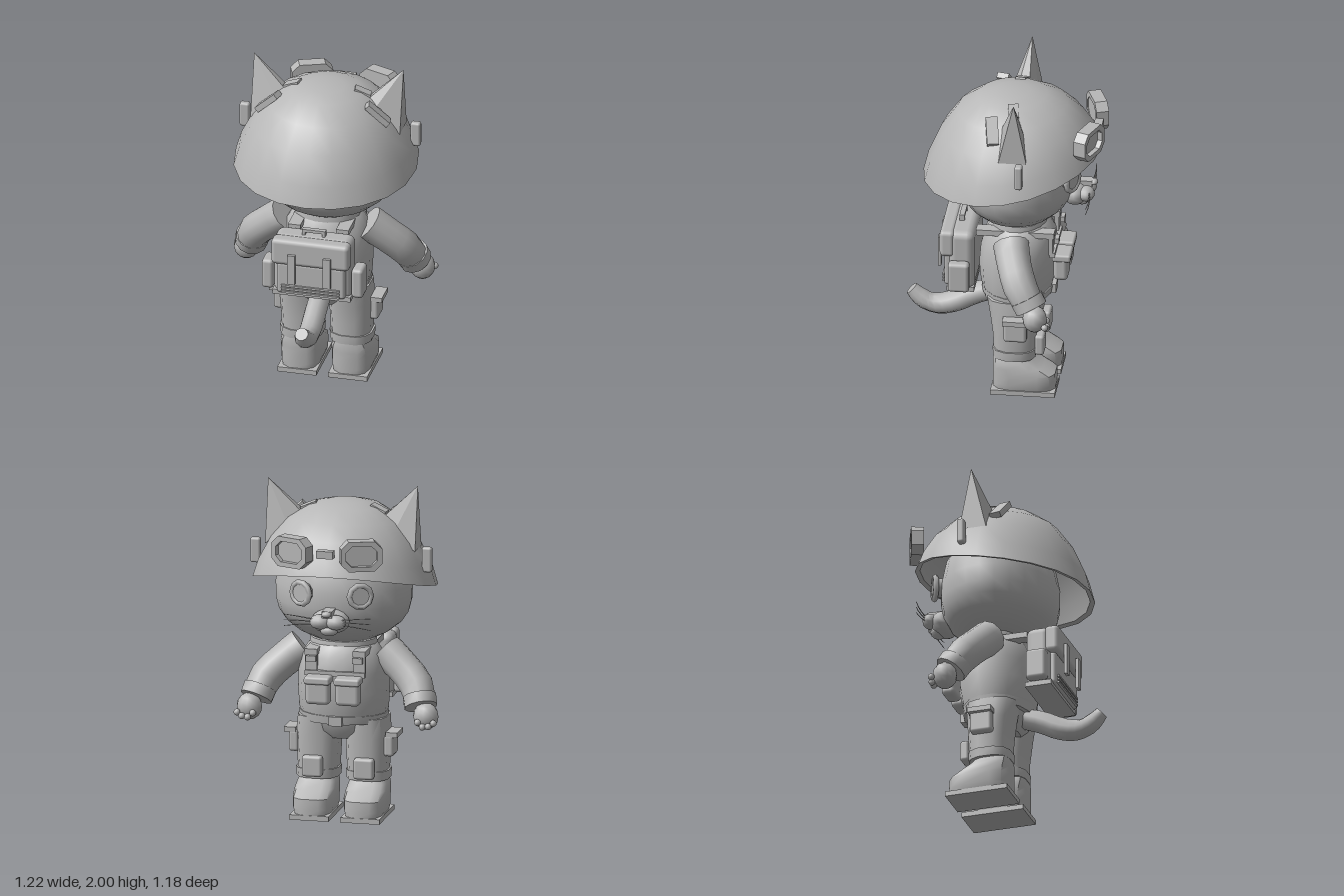
import * as THREE from 'three';
import { mergeVertices, toCreasedNormals } from 'three/addons/utils/BufferGeometryUtils.js';
import { RoundedBoxGeometry } from 'three/addons/geometries/RoundedBoxGeometry.js';
import { ConvexGeometry } from 'three/addons/geometries/ConvexGeometry.js';

const V = (x, y, z) => new THREE.Vector3(x, y, z);

// Capped skin over a list of rings
function loft(rings, crease = 0.7) {
  const n = rings[0].length, pos = [], idx = [];
  rings.forEach(r => r.forEach(p => pos.push(p.x, p.y, p.z)));
  for (let i = 0; i < rings.length - 1; i++)
    for (let j = 0; j < n; j++) {
      const a = i * n + j, b = i * n + (j + 1) % n;
      idx.push(a, b, b + n, a, b + n, a + n);
    }
  const last = (rings.length - 1) * n;
  for (let j = 1; j < n - 1; j++) idx.push(0, j + 1, j, last, last + j, last + j + 1);
  const g = new THREE.BufferGeometry();
  g.setAttribute('position', new THREE.Float32BufferAttribute(pos, 3));
  g.setIndex(idx);
  return toCreasedNormals(g, crease);
}

// Rows of [y, half width, back z, front z], bottom to top, as rounded sections
function stack(rows, x = 0, sides = 16, square = 1) {
  return loft(rows.map(([y, hx, zb, zf]) => Array.from({ length: sides }, (_, i) => {
    const a = ((i + 0.5) / sides) * Math.PI * 2, s = Math.sin(a), c = Math.cos(a);
    return V(x + hx * Math.sign(s) * Math.abs(s) ** square, y,
      (zb + zf) / 2 + (zb - zf) / 2 * Math.sign(c) * Math.abs(c) ** square);
  })));
}

// Tapered limb along a path
function limb(points, radii, steps, sides = 10) {
  const curve = new THREE.CatmullRomCurve3(points);
  const f = curve.computeFrenetFrames(steps);
  const rings = [];
  for (let i = 0; i <= steps; i++) {
    const t = i / steps, k = t * (radii.length - 1), lo = Math.min(Math.floor(k), radii.length - 2);
    const r = THREE.MathUtils.lerp(radii[lo], radii[lo + 1], k - lo), c = curve.getPoint(t);
    rings.push(Array.from({ length: sides }, (_, j) => {
      const a = (j / sides) * Math.PI * 2;
      return c.clone().addScaledVector(f.normals[i], r * Math.cos(a)).addScaledVector(f.binormals[i], r * Math.sin(a));
    }));
  }
  return loft(rings);
}

export function createModel() {
  const model = new THREE.Group();
  const grey = new THREE.MeshStandardMaterial({ color: 0xb8b8b8 });
  grey.name = 'grey';
  const add = (name, geo, p = [0, 0, 0], r = [0, 0, 0], parent = model) => {
    const m = new THREE.Mesh(geo, grey);
    m.name = name;
    m.position.set(...p);
    m.rotation.set(...r);
    parent.add(m);
    return m;
  };
  const box = (name, size, p, r) => add(name, new THREE.BoxGeometry(...size), p, r);
  const pad = (name, size, p, r) => add(name, new RoundedBoxGeometry(...size, 2, Math.min(...size) * 0.3), p, r);
  const ball = (name, r, p, scale = [1, 1, 1]) => add(name, new THREE.SphereGeometry(r, 12, 8), p).scale.set(...scale);

  // Head
  const headProfile = [[0, 1.06], [0.18, 1.065], [0.27, 1.11], [0.345, 1.17], [0.385, 1.23], [0.403, 1.3],
    [0.405, 1.4], [0.37, 1.55], [0.25, 1.7], [0, 1.76]].map(p => new THREE.Vector2(...p));
  const head = add('head', new THREE.LatheGeometry(headProfile, 24), [0, 0, -0.067]);
  head.scale.z = 0.85;

  // Helmet: dome whose rim rises toward the face; profile is [radius, drop]
  const dome = [[0, 0.08], [0.36, 0.14], [0.57, 0.3], [0.75, 0.53], [0.89, 0.8], [0.945, 0.985], [1, 1],
    [0.94, 0.775], [0.8, 0.47], [0.617, 0.225], [0.387, 0.063], [0.2, 0.015], [0, 0]];
  let helmet = new THREE.LatheGeometry(dome.map(([r, d]) => new THREE.Vector2(r, -d)), 20);
  const hp = helmet.attributes.position;
  for (let i = 0; i < hp.count; i++) {
    const x = hp.getX(i), z = hp.getZ(i), c = z / (Math.hypot(x, z) || 1);
    const rim = 1.39 - 0.105 * c + 0.04 * c * c;
    hp.setXYZ(i, x * 0.545, 1.88 + hp.getY(i) * (1.88 - rim), z * 0.525 - 0.04);
  }
  helmet.deleteAttribute('normal');
  helmet.deleteAttribute('uv');
  add('helmet', toCreasedNormals(mergeVertices(helmet, 1e-4), 0.9));

  // Goggle frame with chamfered corners
  const octagon = (w, h, c, T) => new T([[-w + c, -h], [w - c, -h], [w, -h + c], [w, h - c], [w - c, h],
    [-w + c, h], [-w, h - c], [-w, -h + c]].map(p => new THREE.Vector2(...p)));
  const frame = octagon(0.122, 0.09, 0.045, THREE.Shape);
  frame.holes.push(octagon(0.092, 0.062, 0.035, THREE.Path));
  const frameGeo = new THREE.ExtrudeGeometry(frame, { depth: 0.075, bevelEnabled: false });
  const lensGeo = new THREE.ExtrudeGeometry(octagon(0.1, 0.07, 0.035, THREE.Shape), { depth: 0.04, bevelEnabled: false });
  box('goggleBridge', [0.1, 0.045, 0.05], [0, 1.67, -0.545]);

  // Muzzle
  ball('muzzle', 0.1, [0, 1.235, -0.41], [1.15, 0.75, 0.8]);
  ball('chin', 0.05, [0, 1.19, -0.45], [1.1, 0.7, 0.9]);
  ball('nose', 0.025, [0, 1.3, -0.52], [1.2, 0.75, 0.9]);
  box('noseBridge', [0.06, 0.04, 0.1], [0, 1.295, -0.46]);

  // Torso, hips, collar and belt
  add('torso', stack([[0.575, 0.25, 0.13, -0.265], [0.65, 0.265, 0.145, -0.285], [0.76, 0.27, 0.155, -0.305],
    [0.88, 0.265, 0.145, -0.305], [0.97, 0.245, 0.12, -0.295], [1.03, 0.205, 0.09, -0.26], [1.06, 0.17, 0.07, -0.23]]));
  add('hips', stack([[0.47, 0.14, 0.05, -0.18], [0.52, 0.23, 0.09, -0.22], [0.6, 0.25, 0.11, -0.24]]));
  add('belt', stack([[0.575, 0.26, 0.135, -0.275], [0.625, 0.265, 0.14, -0.285]]));
  add('collar', stack([[1.02, 0.2, 0.09, -0.25], [1.068, 0.195, 0.085, -0.245]]));
  box('buckle', [0.08, 0.055, 0.03], [0, 0.6, -0.285]);
  box('chestBand', [0.36, 0.03, 0.03], [0, 0.89, -0.295]);

  // Tail
  add('tail', limb([V(0, 0.565, 0.06), V(0, 0.52, 0.19), V(0, 0.46, 0.31), V(0, 0.44, 0.42), V(0, 0.475, 0.5),
    V(0, 0.53, 0.555)], [0.06, 0.066, 0.066, 0.062, 0.055, 0.04], 12));

  // Backpack
  pad('backpack', [0.47, 0.38, 0.15], [0, 0.84, 0.235]);
  pad('backpackLid', [0.47, 0.165, 0.09], [0, 0.948, 0.32]);
  pad('backpackPocket', [0.41, 0.2, 0.06], [0, 0.77, 0.31]);
  box('backpackBase', [0.47, 0.03, 0.16], [0, 0.665, 0.24]);
  for (const y of [0.685, 0.705, 0.725]) box('webbing', [0.35, 0.012, 0.02], [0, y, 0.342]);
  box('handle', [0.14, 0.018, 0.03], [0, 1.058, 0.25]);

  for (const s of [-1, 1]) {
    // Ears with trim
    add('ear', new ConvexGeometry([[0.45, 2, -0.1], [0.45, 1.62, -0.175], [0.45, 1.62, -0.01], [0.21, 1.77, -0.11],
      [0.21, 1.77, -0.04], [0.28, 1.74, 0], [0.32, 1.73, -0.15]].map(([x, y, z]) => V(s * x, y, z))));
    box('earTrimInner', [0.1, 0.03, 0.06], [s * 0.21, 1.838, -0.07], [0, s * 0.15, -s * 0.4]);
    box('earTrimBack', [0.17, 0.035, 0.07], [s * 0.33, 1.765, 0.04], [0, s * 0.2, -s * 0.75]);

    // Goggles and helmet side pads
    const goggle = new THREE.Group();
    goggle.name = 'goggle';
    goggle.position.set(s * 0.193, 1.668, -0.48);
    goggle.rotation.y = s * (Math.PI - 0.37);
    model.add(goggle);
    add('goggleFrame', frameGeo, [0, 0, 0], [0, 0, 0], goggle);
    add('goggleLens', lensGeo, [0, 0, 0.005], [0, 0, 0], goggle);
    pad('helmetPad', [0.06, 0.15, 0.045], [s * 0.515, 1.57, -0.138]);

    // Eyes
    const eye = new THREE.Group();
    eye.name = 'eye';
    eye.position.set(s * 0.17, 1.395, -0.395);
    eye.rotation.y = s * (Math.PI - 0.45);
    model.add(eye);
    add('eyeRim', new THREE.TorusGeometry(0.065, 0.018, 6, 10), [0, 0, 0.02], [0, 0, 0], eye);
    add('eyeball', new THREE.CylinderGeometry(0.06, 0.06, 0.05, 10), [0, 0, 0.005], [Math.PI / 2, 0, 0], eye);

    // Cheeks and whiskers
    ball('cheek', 0.055, [s * 0.048, 1.245, -0.48], [1.15, 0.8, 0.9]);
    for (const k of [-1, 0, 1])
      add('whisker', limb([V(s * 0.08, 1.25 + k * 0.014, -0.5), V(s * 0.17, 1.255 + k * 0.024, -0.51),
        V(s * 0.26, 1.25 + k * 0.035, -0.5)], [0.004, 0.002], 3, 4));

    // Arms
    add('sleeve', limb([V(s * 0.25, 0.99, -0.06), V(s * 0.36, 0.9, -0.095), V(s * 0.45, 0.81, -0.14),
      V(s * 0.49, 0.71, -0.205)], [0.105, 0.1, 0.1, 0.088], 6, 12));
    add('cuff', limb([V(s * 0.478, 0.755, -0.18), V(s * 0.495, 0.7, -0.212)], [0.1, 0.098], 1, 12));
    ball('hand', 0.08, [s * 0.53, 0.65, -0.235], [0.95, 1, 0.9]);
    for (const [x, y, z] of [[0.59, 0.625, -0.3], [0.56, 0.605, -0.305], [0.525, 0.6, -0.305], [0.495, 0.625, -0.3]])
      ball('finger', 0.02, [s * x, y, z]);

    // Trousers
    add('trouserLeg', stack([[0.23, 0.118, 0.05, -0.195], [0.36, 0.125, 0.055, -0.205], [0.48, 0.13, 0.07, -0.21],
      [0.6, 0.12, 0.09, -0.22]], s * 0.148, 12, 0.75));
    add('trouserCuff', stack([[0.225, 0.127, 0.055, -0.2], [0.28, 0.13, 0.058, -0.205]], s * 0.15, 12, 0.75));
    pad('kneePad', [0.12, 0.125, 0.055], [s * 0.155, 0.307, -0.222]);
    pad('legPocket', [0.06, 0.13, 0.135], [s * 0.285, 0.435, -0.09]);
    box('legPocketFlap', [0.07, 0.03, 0.145], [s * 0.305, 0.503, -0.09]);

    // Boots
    add('boot', stack([[0.02, 0.11, 0.055, -0.32], [0.06, 0.122, 0.055, -0.32], [0.125, 0.124, 0.055, -0.318],
      [0.165, 0.122, 0.055, -0.25], [0.2, 0.115, 0.055, -0.19], [0.24, 0.095, 0.05, -0.15]], s * 0.153, 12, 0.6));
    box('sole', [0.235, 0.03, 0.38], [s * 0.153, 0.015, -0.13]);

    // Chest pouches and shoulder straps
    pad('chestPouch', [0.145, 0.15, 0.085], [s * 0.09, 0.79, -0.34]);
    pad('pouchFlap', [0.155, 0.045, 0.11], [s * 0.09, 0.862, -0.345]);
    box('shoulderStrap', [0.075, 0.035, 0.46], [s * 0.145, 1.015, -0.075]);
    box('strapFront', [0.07, 0.12, 0.025], [s * 0.145, 0.95, -0.285]);
    box('strapBuckle', [0.06, 0.035, 0.025], [s * 0.14, 0.98, -0.32]);

    // Backpack straps and side pouches
    box('lidStrap', [0.045, 0.19, 0.018], [s * 0.107, 0.85, 0.375]);
    pad('sidePouch', [0.07, 0.185, 0.125], [s * 0.27, 0.765, 0.245]);
    box('handlePost', [0.018, 0.04, 0.03], [s * 0.06, 1.04, 0.25]);
  }
  return model;
}
